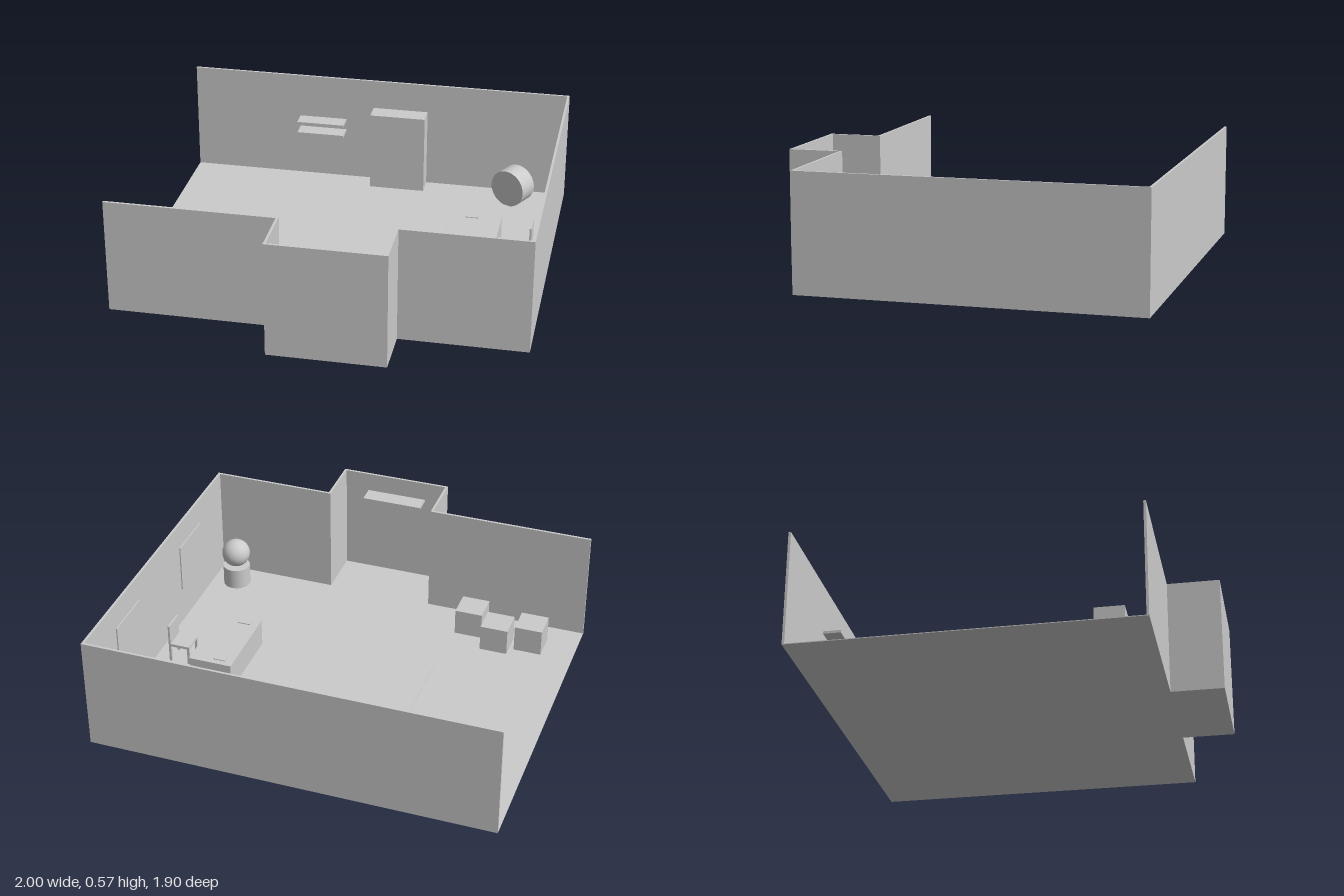
import * as THREE from 'three';

export function createModel() {
  const room = new THREE.Group();
  room.name = 'room';
  const mat = new THREE.MeshStandardMaterial({ color: 0xcccccc });

  const add = (name, geometry, x, y, z, parent = room) => {
    const mesh = new THREE.Mesh(geometry, mat);
    mesh.name = name;
    mesh.position.set(x, y, z);
    parent.add(mesh);
    return mesh;
  };
  // Box given by its extents on each axis
  const box = (name, [x0, x1], [y0, y1], [z0, z1], parent = room) =>
    add(name, new THREE.BoxGeometry(x1 - x0, y1 - y0, z1 - z0),
      (x0 + x1) / 2, (y0 + y1) / 2, (z0 + z1) / 2, parent);
  const group = (name) => {
    const g = new THREE.Group();
    g.name = name;
    room.add(g);
    return g;
  };

  // Floor with alcove
  const H = 0.57, T = 0.012, F = 0.004;
  box('floor', [-1, 1], [0, F], [-0.95, 0.69]);
  box('alcoveFloor', [-0.18, 0.385], [0, F], [0.69, 0.95]);

  // Walls; the right-hand end of the room (-x) is open
  const walls = group('walls');
  box('backWall', [-1, 1], [0, H], [-0.95, -0.95 + T], walls);
  box('leftWall', [1 - T, 1], [0, H], [-0.938, 0.683], walls);
  box('frontWallRight', [-1, -0.18 + T], [0, H], [0.683, 0.695], walls);
  box('frontWallLeft', [0.385 - T, 1], [0, H], [0.683, 0.695], walls);
  box('alcoveSideRight', [-0.18, -0.18 + T], [0, H], [0.695, 0.938], walls);
  box('alcoveSideLeft', [0.385 - T, 0.385], [0, H], [0.695, 0.938], walls);
  box('alcoveFront', [-0.18, 0.385], [0, H], [0.938, 0.95], walls);

  // Thin panels on the left wall
  for (const z of [-0.62, 0.13]) box('windowPanel', [0.982, 0.989], [0.19, 0.44], [z, z + 0.26]);

  // Rug
  box('rug', [-0.36, 0.45], [F, 0.008], [-0.48, 0.2]);

  // Wardrobe and shelves
  box('wardrobe', [-0.03, 0.26], [F, 0.42], [-0.93, -0.83]);
  for (const y of [0.265, 0.325]) box('wallShelf', [-0.43, -0.18], [y, y + 0.013], [-0.938, -0.85]);
  box('alcoveShelf', [-0.06, 0.25], [0.46, 0.473], [0.85, 0.938]);

  // Desk with small flat items
  const desk = group('desk');
  box('deskBody', [0.523, 0.737], [F, 0.137], [-0.357, 0.062], desk);
  box('deskTop', [0.52, 0.74], [0.137, 0.15], [-0.36, 0.065], desk);
  for (const z of [-0.33, 0]) box('notepad', [0.56, 0.625], [0.15, 0.154], [z, z + 0.04], desk);

  // Chair
  const chair = group('chair');
  box('seat', [0.8, 0.91], [0.092, 0.106], [-0.225, -0.115], chair);
  box('chairBack', [0.9, 0.91], [0.106, 0.21], [-0.225, -0.115], chair);
  for (const x of [0.8, 0.898])
    for (const z of [-0.225, -0.127]) box('chairLeg', [x, x + 0.012], [F, 0.092], [z, z + 0.012], chair);

  // Cube stools
  for (const [x, z] of [[-0.77, 0.5], [-0.605, 0.45], [-0.445, 0.545]])
    add('cubeStool', new THREE.BoxGeometry(0.14, 0.14, 0.14), x, 0.07, z);

  // Ball on a round pedestal
  add('pedestal', new THREE.CylinderGeometry(0.07, 0.07, 0.113, 40), 0.86, 0.0565, 0.555);
  add('ball', new THREE.SphereGeometry(0.073, 40, 24), 0.86, 0.186, 0.555);

  // Drum standing on its rim, turned towards the room
  const drum = add('drum', new THREE.CylinderGeometry(0.098, 0.098, 0.105, 40).rotateX(Math.PI / 2), 0.74, 0.1, -0.797);
  drum.rotation.y = -0.475;

  return room;
}
